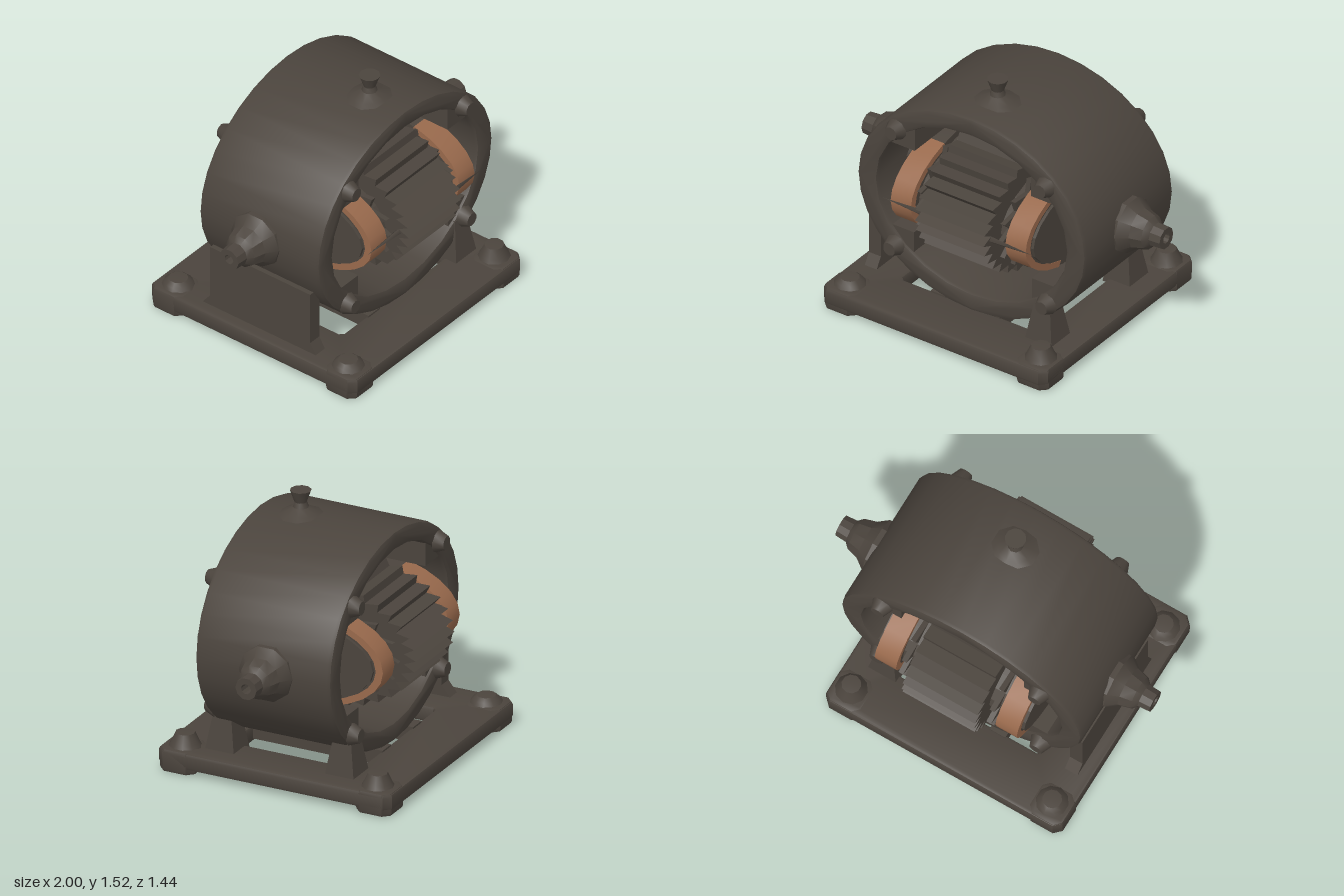
import * as THREE from 'three';
import { toCreasedNormals } from 'three/addons/utils/BufferGeometryUtils.js';

const iron = new THREE.MeshStandardMaterial({ color: 0x4b443d });
iron.name = 'dark iron';
const copper = new THREE.MeshStandardMaterial({ color: 0x98694c });
copper.name = 'copper';

const CY = 0.75; // height of the armature axis

export function createModel() {
  const model = new THREE.Group();
  model.name = 'openFrameMotor';

  function add(name, geometry, x = 0, y = 0, z = 0, material = iron, parent = model) {
    const mesh = new THREE.Mesh(geometry, material);
    mesh.name = name;
    mesh.position.set(x, y, z);
    parent.add(mesh);
    return mesh;
  }

  // Elliptical outline; a second pair of radii on odd points makes teeth
  function ellipse(n, rx, ry, rx2 = rx, ry2 = ry) {
    return Array.from({ length: n }, (_, i) => {
      const a = (i / n) * Math.PI * 2;
      return new THREE.Vector2(Math.cos(a) * (i % 2 ? rx2 : rx), Math.sin(a) * (i % 2 ? ry2 : ry));
    });
  }

  // Elliptical arc from -span to span around the given middle angle
  function arc(middle, span, rx, ry) {
    return Array.from({ length: 11 }, (_, i) => {
      const a = middle + span * (i / 5 - 1);
      return new THREE.Vector2(Math.cos(a) * rx, Math.sin(a) * ry);
    });
  }

  function extrude(outline, hole, depth, bevel = 0) {
    const shape = new THREE.Shape(outline);
    if (hole) shape.holes.push(new THREE.Path(hole));
    return new THREE.ExtrudeGeometry(shape, {
      depth, steps: 1, bevelEnabled: bevel > 0, bevelThickness: bevel,
      bevelSize: bevel, bevelOffset: -bevel, bevelSegments: 2,
    }).translate(0, 0, -depth / 2);
  }

  const smooth = (g) => toCreasedNormals(g, 0.6);
  const lathe = (pts, n) =>
    smooth(new THREE.LatheGeometry(pts.map((p) => new THREE.Vector2(...p)), n));
  // Bored plate whose thickness runs along x
  const alongX = (outline, depth) =>
    extrude(outline, ellipse(10, 0.045, 0.045), depth).rotateY(Math.PI / 2);

  // Barrel housing, open at both ends
  const housing = extrude(ellipse(32, 0.765, 0.625), ellipse(24, 0.635, 0.515), 0.79, 0.025);
  add('housing', smooth(housing), 0, 0.76, 0.02);

  // Pole pieces inside the barrel and lugs on its two rims
  for (const s of [-1, 1]) {
    add('upperPole', new THREE.BoxGeometry(0.16, 0.16, 0.8), s * 0.47, 1.105, 0.02);
    add('lowerPole', new THREE.BoxGeometry(0.16, 0.13, 0.8), s * 0.475, 0.425, 0.02);
    for (const [y, x] of [[1.135, 0.5], [0.375, 0.51]]) {
      for (const end of [-1, 1]) {
        const lug = new THREE.CylinderGeometry(0.04, 0.065, 0.06, 10).rotateX(end * Math.PI / 2);
        add('rimLug', smooth(lug), s * x, y, end > 0 ? 0.465 : -0.425);
      }
    }
  }

  // Bearing bosses on both sides
  for (const s of [-1, 1]) {
    const boss = lathe([[0.165, 0.66], [0.165, 0.77], [0.12, 0.83], [0.1, 0.9], [0.07, 0.93],
      [0.065, 1.0], [0.03, 1.0], [0.03, 0.59], [0.13, 0.59], [0.165, 0.66]], 10);
    add('bearingBoss', boss.rotateZ(-s * Math.PI / 2), 0, CY + 0.005, 0);
  }

  // Oiler cup on top, on a low mound
  add('oilerCup', lathe([[0.24, 1.33], [0.1, 1.39], [0.045, 1.42], [0.035, 1.45],
    [0.06, 1.52], [0, 1.52]], 10), 0, 0, 0.185);

  // Armature: toothed core, windings, spiked collars and shaft
  const armature = new THREE.Group();
  armature.name = 'armature';
  armature.position.y = CY;
  model.add(armature);
  const part = (name, g, x, m = iron) => add(name, g, x, 0, 0, m, armature);

  part('toothedCore', alongX(ellipse(72, 0.645, 0.38, 0.575, 0.345), 0.46), 0);
  const shaft = lathe([[0.05, -0.62], [0.05, 0.62], [0.03, 0.62], [0.03, -0.62], [0.05, -0.62]], 10);
  part('shaft', shaft.rotateZ(-Math.PI / 2), 0);
  for (const s of [-1, 1]) {
    part('windingNeck', alongX(ellipse(24, 0.48, 0.24), 0.12), s * 0.28);
    part('spikedCollar', alongX(ellipse(36, 0.57, 0.315, 0.47, 0.25), 0.03), s * 0.28);
    part('windingCore', smooth(alongX(ellipse(32, 0.54, 0.28), 0.13)), s * 0.385);
    part('endCap', alongX(ellipse(24, 0.505, 0.235), 0.025), s * 0.455);
    // Copper shows on the front and back of each winding
    for (const middle of [0, Math.PI]) {
      const outline = [...arc(middle, 1.12, 0.56, 0.287), ...arc(middle, 1.12, 0.515, 0.25).reverse()];
      part('copperWinding', smooth(extrude(outline, null, 0.136).rotateY(Math.PI / 2)), s * 0.385, copper);
    }
    part('frontSpike', new THREE.ConeGeometry(0.02, 0.28, 4).rotateZ(-s * Math.PI / 2)
      .translate(0, 0.01, 0.57), s * 0.36);
  }

  // Base frame with a rectangular opening
  const rect = (x0, x1, z0, z1, c) => [[x0 + c, z0], [x1 - c, z0], [x1, z0 + c], [x1, z1 - c],
    [x1 - c, z1], [x0 + c, z1], [x0, z1 - c], [x0, z0 + c]].map((p) => new THREE.Vector2(...p));
  const frame = extrude(rect(-0.815, 0.69, -0.72, 0.72, 0.04), rect(-0.5, 0.42, -0.39, 0.39, 0.02), 0.06, 0.02);
  add('baseFrame', smooth(frame.rotateX(-Math.PI / 2)), 0, 0.085, 0);

  // Corner feet with rounded bolt bosses
  for (const sz of [-1, 1]) {
    for (const [x, bx, h] of [[-0.705, -0.7, 0.185], [0.58, 0.58, 0.22]]) {
      const foot = extrude(rect(-0.11, 0.11, -0.11, 0.11, 0.04), null, 0.1, 0.02);
      add('cornerFoot', smooth(foot.rotateX(-Math.PI / 2)), x, 0.07, sz * 0.605);
      add('boltBoss', lathe([[0.11, 0.11], [0.08, 0.16], [0.055, h - 0.005], [0, h]], 10), bx, 0, sz * 0.595);
    }
  }

  // Tall side plate on the right, short legs on the left, rails below the barrel
  const plate = new THREE.Shape([[-0.42, 0.1], [0.42, 0.1], [0.36, 0.2], [0.36, 0.53], [-0.34, 0.53], [-0.34, 0.2]]
    .map((p) => new THREE.Vector2(...p)));
  add('sidePlate', new THREE.ExtrudeGeometry(plate, { depth: 0.08, bevelEnabled: false })
    .rotateY(-Math.PI / 2), -0.66, 0, 0);
  for (const z of [-0.35, 0.39]) {
    const leg = new THREE.CylinderGeometry(0.07, 0.13, 0.27, 4).rotateY(Math.PI / 4);
    add('leg', toCreasedNormals(leg, 0.3), 0.48, 0.245, z);
  }
  for (const x of [-0.24, 0.12]) {
    add('crossRail', new THREE.BoxGeometry(0.1, 0.09, 0.82), x, 0.1, 0);
  }
  return model;
}
